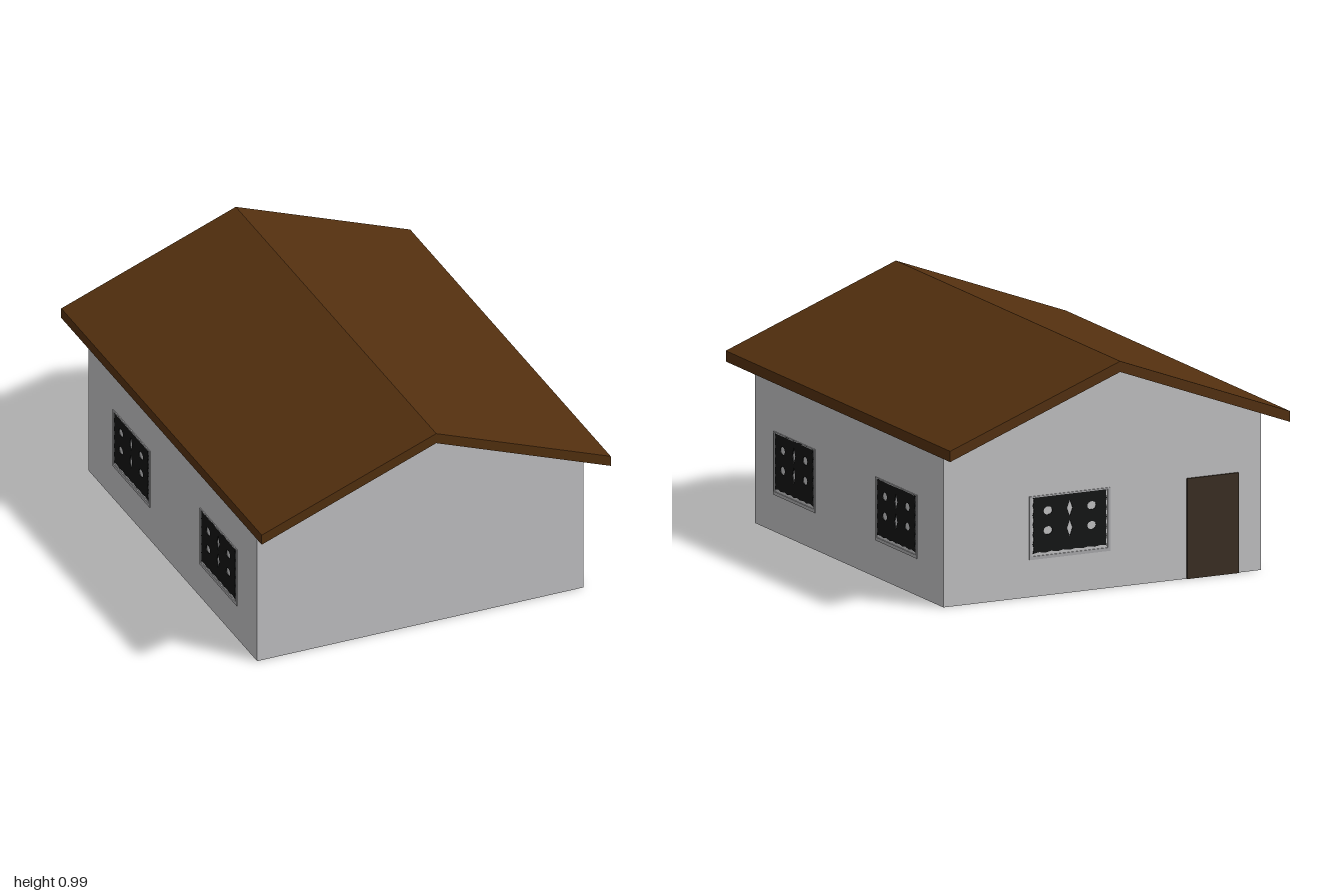
import * as THREE from 'three';

const mat = (name, color) => Object.assign(new THREE.MeshStandardMaterial({ color }), { name });
const W = 0.727, D = 0.84; // half width and half depth of the walls

const polygon = (Type, pts) => new Type(pts.map(([x, y]) => new THREE.Vector2(x, y)));
const rect = (x, y, w, h) => [[x - w / 2, y - h / 2], [x + w / 2, y - h / 2], [x + w / 2, y + h / 2], [x - w / 2, y + h / 2]];

function extrude(name, shape, depth, material, z = 0) {
  const geometry = new THREE.ExtrudeGeometry(shape, { depth, bevelEnabled: false });
  const mesh = new THREE.Mesh(geometry, material);
  mesh.name = name;
  mesh.position.z = z;
  return mesh;
}

// Rectangle with a gently scalloped border
function scalloped(w, h, amp, waves) {
  const pts = [];
  const corners = rect(0, 0, w, h);
  corners.forEach(([ax, ay], i) => {
    const [bx, by] = corners[(i + 1) % 4];
    const len = Math.hypot(bx - ax, by - ay);
    const nx = -(by - ay) / len, ny = (bx - ax) / len;
    const steps = waves * 4;
    for (let k = 0; k < steps; k++) {
      const t = k / steps;
      const d = amp * Math.sin(Math.PI * waves * t) ** 2;
      pts.push([ax + (bx - ax) * t + nx * d, ay + (by - ay) * t + ny * d]);
    }
  });
  return polygon(THREE.Shape, pts);
}

// Window facing +z: a thin frame and a dark grille of two leaves
function makeWindow(name, frameMat, grilleMat) {
  const group = new THREE.Group();
  group.name = name;

  const border = polygon(THREE.Shape, rect(0, 0, 0.37, 0.265));
  border.holes.push(polygon(THREE.Path, rect(0, 0.004, 0.35, 0.245)));
  group.add(extrude('windowFrame', border, 0.004, frameMat));

  const lattice = scalloped(0.338, 0.24, 0.005, 6);
  for (const y of [-0.028, 0.055]) {
    for (const x of [-0.1, 0.1]) {
      const hole = new THREE.Path();
      hole.absellipse(x, y, 0.02, 0.017, 0, Math.PI * 2, true);
      lattice.holes.push(hole);
    }
    // diamond shaped gap where the leaves meet
    lattice.holes.push(polygon(THREE.Path, [[-0.013, y], [0, y - 0.035], [0.013, y], [0, y + 0.035]]));
  }
  const grille = extrude('windowGrille', lattice, 0.003, grilleMat, 0.001);
  grille.position.y = 0.012;
  group.add(grille);
  return group;
}

export function createModel() {
  const wall = mat('wallGrey', 0xc2c2c4);
  const roofMat = mat('roofBrown', 0x53300f);
  const frame = mat('frameGrey', 0xaaaaac);
  const iron = mat('grilleBlack', 0x131414);
  const doorMat = mat('doorBrown', 0x3a2e22);

  const house = new THREE.Group();
  house.name = 'house';

  // Walls with gables at both ends
  const gable = polygon(THREE.Shape, [[-W, 0], [W, 0], [W, 0.663], [0, 0.938], [-W, 0.663]]);
  house.add(extrude('walls', gable, 2 * D, wall, -D));

  // Overhanging pitched roof
  const pitch = polygon(THREE.Shape, [
    [-0.778, 0.647], [0, 0.94], [0.778, 0.647], [0.778, 0.692], [0, 0.985], [-0.778, 0.692],
  ]);
  house.add(extrude('roof', pitch, 2, roofMat, -1));

  // Two windows on each long side and one at the back
  const y = 0.288;
  const places = [
    ['leftWindow', W, 0.485, Math.PI / 2], ['leftWindow', W, -0.425, Math.PI / 2],
    ['rightWindow', -W, 0.46, -Math.PI / 2], ['rightWindow', -W, -0.41, -Math.PI / 2],
    ['backWindow', 0.15, -D, Math.PI],
  ];
  for (const [name, x, z, turn] of places) {
    const win = makeWindow(name, frame, iron);
    win.position.set(x, y, z);
    win.rotation.y = turn;
    house.add(win);
  }

  // Back door
  const door = new THREE.Mesh(new THREE.BoxGeometry(0.235, 0.42, 0.009), doorMat);
  door.name = 'door';
  door.position.set(-0.503, 0.21, -D - 0.0035);
  house.add(door);

  return house;
}
